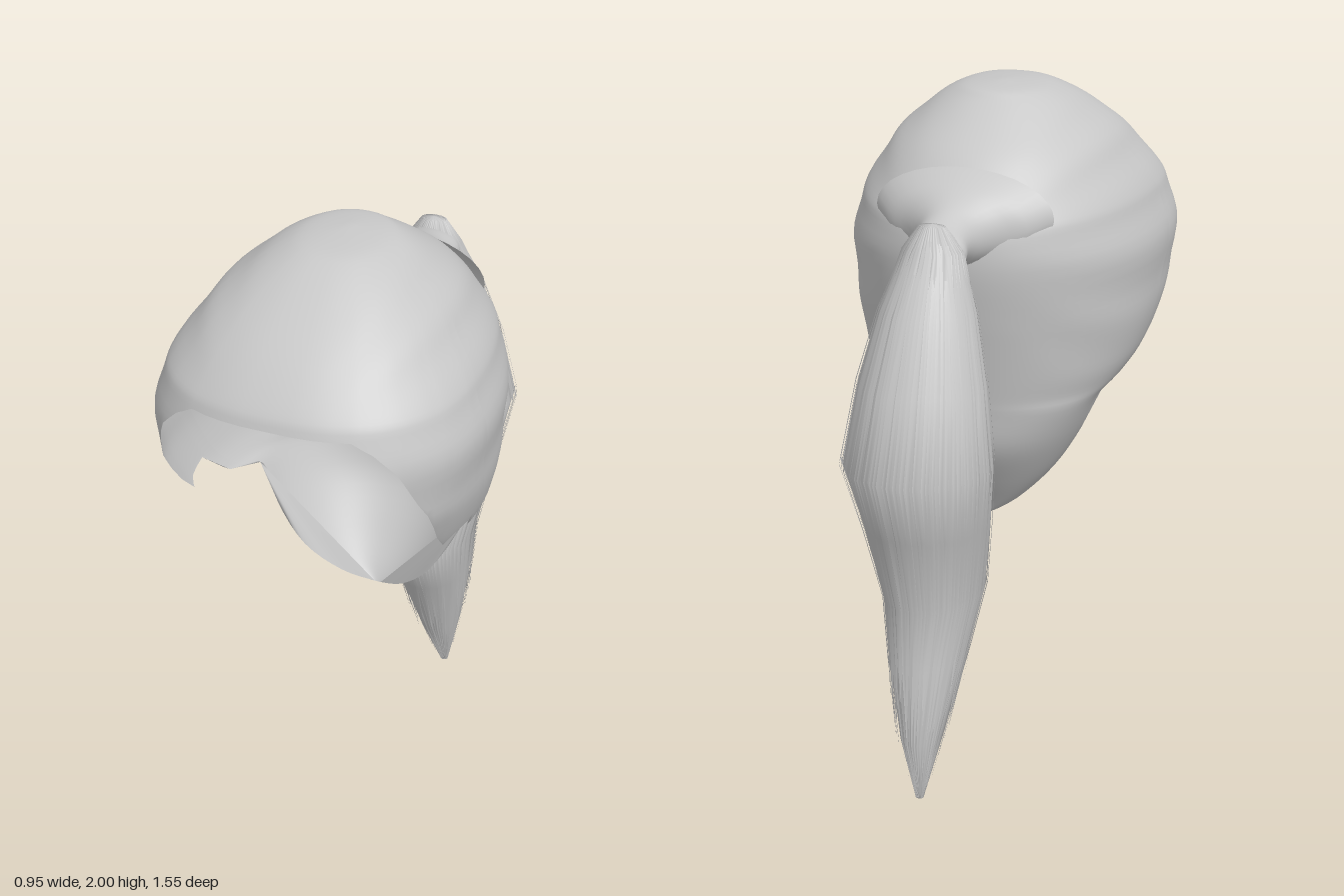
import * as THREE from 'three';
import { mergeVertices } from 'three/addons/utils/BufferGeometryUtils.js';

const rad = THREE.MathUtils.degToRad;
const power = (v, p) => Math.sign(v) * Math.abs(v) ** p;

// small seeded random
let seed = 7;
const rand = () => (seed = (seed * 16807) % 2147483647) / 2147483647;

// linear lookup in rows sorted by rising first column
function lookup(rows, k) {
  let i = 1;
  while (i < rows.length - 1 && rows[i][0] < k) i++;
  const [a, b] = [rows[i - 1], rows[i]];
  const t = THREE.MathUtils.clamp((k - a[0]) / (b[0] - a[0]), 0, 1);
  return a.map((v, n) => v + (b[n] - v) * t);
}

// smooth in-between rows for a table of cross-sections
function refine(rows, n) {
  const out = [];
  for (let i = 0; i < rows.length - 1; i++) {
    const r = [-1, 0, 1, 2].map(d => rows[THREE.MathUtils.clamp(i + d, 0, rows.length - 1)]);
    for (let k = 0; k < n; k++) {
      const t = k / n;
      out.push(r[1].map((p1, c) => {
        const p0 = r[0][c], p2 = r[2][c], p3 = r[3][c];
        const m1 = (p2 - p0) / 2, m2 = (p3 - p1) / 2;
        return p1 + m1 * t + (3 * (p2 - p1) - 2 * m1 - m2) * t * t + (2 * (p1 - p2) + m1 + m2) * t ** 3;
      }));
    }
  }
  out.push(rows[rows.length - 1]);
  return out;
}

// skin a grid of points, skipping collapsed triangles
function skin(nRows, nCols, point) {
  const pos = [], pts = [];
  for (let i = 0; i < nRows; i++) for (let j = 0; j < nCols; j++) pts.push(new THREE.Vector3(...point(i, j)));
  const tri = (a, b, c) => {
    const [p, q, r] = [pts[a], pts[b], pts[c]];
    if (q.clone().sub(p).cross(r.clone().sub(p)).length() < 1e-7) return;
    for (const v of [p, q, r]) pos.push(v.x, v.y, v.z);
  };
  for (let i = 0; i < nRows - 1; i++) for (let j = 0; j < nCols - 1; j++) {
    const a = i * nCols + j, b = a + nCols;
    tri(a, b, a + 1);
    tri(b, b + 1, a + 1);
  }
  let g = new THREE.BufferGeometry();
  g.setAttribute('position', new THREE.Float32BufferAttribute(pos, 3));
  g = mergeVertices(g, 1e-5);
  g.computeVertexNormals();
  return g;
}

// cap sections: height, half width, z of widest point, front z, back z
const CAP = [
  [2.0, 0, .2, .2, .2], [1.99, .1, .21, .34, .09], [1.97, .16, .22, .41, .05],
  [1.92, .235, .25, .5, -.03], [1.85, .315, .27, .6, -.13], [1.78, .37, .3, .68, -.2],
  [1.7, .42, .33, .75, -.26], [1.65, .445, .35, .775, -.285], [1.55, .472, .35, .8, -.29],
  [1.4, .465, .33, .8, -.265], [1.3, .445, .29, .77, -.245], [1.2, .42, .25, .72, -.225],
  [1.13, .38, .19, .65, -.212], [1.08, .335, .09, .5, -.203], [.96, .28, .11, .4, -.18],
  [.83, .2, .1, .3, -.1], [.73, .1, .05, .15, -.03], [.68, .01, 0, 0, 0],
];
// hairline: angle from the front, lowest height
const HAIRLINE = [
  [0, 1.65], [28, 1.645], [36, 1.61], [44, 1.55], [50, 1.48], [58, 1.38], [64, 1.25],
  [68, 1.19], [73, 1.21], [84, 1.215], [86.5, 1.13], [89.9, 1.09], [90, .68], [180, .68],
];
// tail sections: height, front z, back z, half width
const TAIL = [
  [0, -.57, -.59, .012], [.2, -.45, -.645, .06], [.45, -.33, -.645, .11], [.63, -.235, -.63, .14],
  [.87, -.31, -.695, .18], [1.07, -.38, -.765, .212], [1.3, -.37, -.69, .18],
  [1.5, -.355, -.6, .135], [1.66, -.36, -.5, .09], [1.73, -.41, -.46, .04],
];
// gathered neck sections: z, half width, low y, high y
const NECK = [
  [-.16, .27, 1.56, 1.825], [-.22, .21, 1.55, 1.79], [-.26, .145, 1.56, 1.768], [-.31, .095, 1.57, 1.745],
  [-.36, .083, 1.58, 1.725], [-.41, .092, 1.58, 1.71], [-.44, .08, 1.6, 1.7],
];

function capGeometry() {
  const half = [0, 7, 14, 21, 28, 32, 36, 40, 44, 47, 50, 54, 58, 61, 64, 68, 70, 73, 78, 84, 86.5, 89.9];
  for (let a = 90; a <= 180; a += 5) half.push(a);
  const angles = [...half.slice(1).reverse().map(a => -a), ...half];
  const rows = refine(CAP, 4).map(r => [...r]).reverse();
  const n = rows.length;
  return skin(n, angles.length, (i, j) => {
    const a = angles[j], rim = lookup(HAIRLINE, Math.abs(a))[1];
    const [y, w, zc, zf, zb] = lookup(rows, Math.max(rows[n - 1 - i][0], rim));
    const front = Math.abs(a) < 90, p = front ? .85 : .95;
    const s = power(Math.sin(rad(a)), p), c = power(Math.cos(rad(a)), p);
    // shallow combed grooves that converge on the tie
    const x0 = w * s, z0 = zc + c * (front ? zf - zc : zc - zb);
    const fan = Math.atan2(Math.abs(x0), y - 1.62);
    const comb = 1 + .009 * Math.sin(fan * 15) * Math.abs(s) * THREE.MathUtils.smoothstep(y, 1.1, 1.3);
    return [x0 * comb, y, z0];
  });
}

// point on the tail surface at a given height, angle and scale
function tailPoint(y, a, k) {
  const [, zf, zb, w] = lookup(TAIL, y);
  return [Math.sin(a) * w * k, y, (zf + zb) / 2 + Math.cos(a) * (zf - zb) / 2 * k];
}

function tailGeometry() {
  const cols = 96, ys = [1.735, ...TAIL.map(r => r[0]).reverse()];
  return skin(ys.length, cols + 1, (i, j) => {
    const k = i === 0 ? 0 : 1 - .07 * (j % 2) - .03 * ((j % cols) % 6 === 3);
    return tailPoint(ys[i], (j % cols) / cols * Math.PI * 2, k);
  });
}

// one thin lock lying along the tail and tapering to a point
function strandGeometry(a) {
  const end = .03 + rand() * .33, lift = 1.01 + rand() * .05, size = .007 + rand() * .007;
  const start = 1.7 - rand() * .1, ys = [start, 1.5, 1.3, 1.07, .87, .63, .45, end];
  return skin(ys.length, 2, (i, j) => {
    const [x, y, z] = tailPoint(ys[i], a, i === 0 ? .97 : lift + (i === ys.length - 1 ? .12 : 0));
    const d = (j - .5) * size * (i === ys.length - 1 ? .15 : 1);
    return [x + Math.cos(a) * d, y, z - Math.sin(a) * d];
  });
}

export function createModel() {
  const model = new THREE.Group();
  model.name = 'ponytailHair';
  const hair = new THREE.MeshStandardMaterial({ color: 0xc8c8c8, side: THREE.DoubleSide });
  hair.name = 'grey hair';
  const add = (name, geometry, parent = model) => {
    const mesh = new THREE.Mesh(geometry, hair);
    mesh.name = name;
    parent.add(mesh);
  };

  add('hairCap', capGeometry());

  // gathered hair running back to the tie
  const neck = refine(NECK, 3);
  add('gatheredNeck', skin(neck.length, 33, (i, j) => {
    const [z, w, lo, hi] = neck[i], a = (j % 32) / 32 * Math.PI * 2;
    return [Math.cos(a) * w, (lo + hi) / 2 + Math.sin(a) * (hi - lo) / 2, z];
  }));

  add('ponytail', tailGeometry());

  // loose strands around the tail
  const strands = new THREE.Group();
  strands.name = 'looseStrands';
  for (let i = 0; i < 72; i++) add('strand', strandGeometry((i + rand() * .6) / 72 * Math.PI * 2), strands);
  model.add(strands);

  return model;
}
